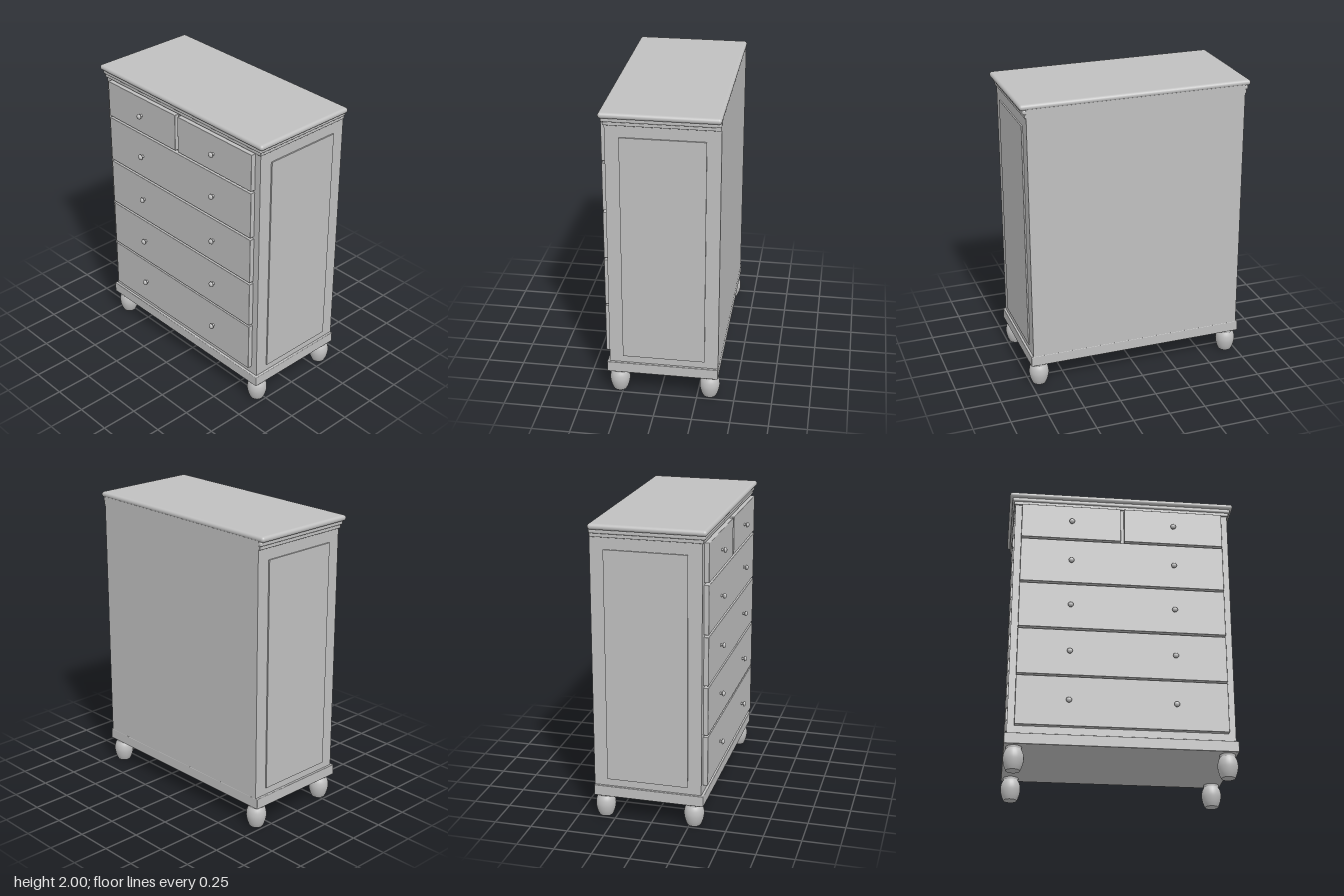
import * as THREE from 'three';
import { RoundedBoxGeometry } from 'three/addons/geometries/RoundedBoxGeometry.js';

const paint = new THREE.MeshStandardMaterial({ color: 0xc0c0c0 });
paint.name = 'grey paint';

export function createModel() {
  const group = new THREE.Group();

  const add = (name, geometry, x = 0, y = 0, z = 0) => {
    const mesh = new THREE.Mesh(geometry, paint);
    mesh.name = name;
    mesh.position.set(x, y, z);
    group.add(mesh);
    return mesh;
  };

  // Box given by its limits, with edges rounded by r
  const block = (name, [x0, x1], [y0, y1], [z0, z1], r = 0, segments = 2) => {
    const size = [x1 - x0, y1 - y0, z1 - z0];
    const geometry = r ? new RoundedBoxGeometry(...size, segments, r) : new THREE.BoxGeometry(...size);
    return add(name, geometry, (x0 + x1) / 2, (y0 + y1) / 2, (z0 + z1) / 2);
  };

  // Carcass and plinth
  block('carcass', [-0.738, 0.738], [0.2, 1.97], [-0.39, 0.333]);
  block('plinth', [-0.754, 0.754], [0.157, 0.231], [-0.391, 0.35], 0.005);

  // Top board with bullnose edge and the stepped moulding beneath it
  block('topBoard', [-0.778, 0.778], [1.962, 2], [-0.392, 0.367], 0.0185, 4);
  block('upperMoulding', [-0.759, 0.759], [1.936, 1.965], [-0.389, 0.353], 0.01, 3);
  block('lowerMoulding', [-0.748, 0.748], [1.912, 1.94], [-0.388, 0.343], 0.004);

  // Raised side panels
  for (const s of [-1, 1]) {
    const x = [s * 0.73, s * 0.747].sort((a, b) => a - b);
    block(s > 0 ? 'leftSidePanel' : 'rightSidePanel', x, [0.28, 1.835], [-0.3, 0.243]);
  }

  // Drawer rows: bottom, top, knob height
  const rows = [
    [0.284, 0.625, 0.455],
    [0.637, 0.961, 0.8],
    [0.975, 1.3, 1.138],
    [1.314, 1.638, 1.474],
    [1.652, 1.907, 1.778],
  ];
  const knobProfile = [
    [0.012, -0.004], [0.009, 0.003], [0.006, 0.008], [0.008, 0.012], [0.018, 0.017],
    [0.019, 0.022], [0.015, 0.029], [0.008, 0.033], [0, 0.034],
  ].map(([r, y]) => new THREE.Vector2(r, y));
  const knobGeometry = new THREE.LatheGeometry(knobProfile, 20).rotateX(Math.PI / 2);

  rows.forEach(([y0, y1, knobY], i) => {
    const spans = i === 4 ? [[-0.692, -0.012], [0.012, 0.692]] : [[-0.692, 0.692]];
    for (const span of spans) block('drawerFront', span, [y0, y1], [0.32, 0.365], 0.004);
    for (const x of [-0.349, 0.349]) add('drawerKnob', knobGeometry, x, knobY, 0.365);
  });

  // Turned bun feet
  const bulge = new THREE.SplineCurve([
    [0.045, 0], [0.056, 0.025], [0.064, 0.055], [0.067, 0.085], [0.062, 0.117], [0.05, 0.142],
  ].map(([r, y]) => new THREE.Vector2(r, y))).getPoints(16);
  const footGeometry = new THREE.LatheGeometry(bulge, 28);
  const neckGeometry = new THREE.CylinderGeometry(0.052, 0.05, 0.022, 28);
  const soleGeometry = new THREE.CircleGeometry(0.045, 28).rotateX(Math.PI / 2);
  for (const x of [-0.688, 0.688]) {
    for (const z of [0.275, -0.331]) {
      add('foot', footGeometry, x, 0, z);
      add('footNeck', neckGeometry, x, 0.15, z);
      add('footSole', soleGeometry, x, 0, z);
    }
  }

  return group;
}
